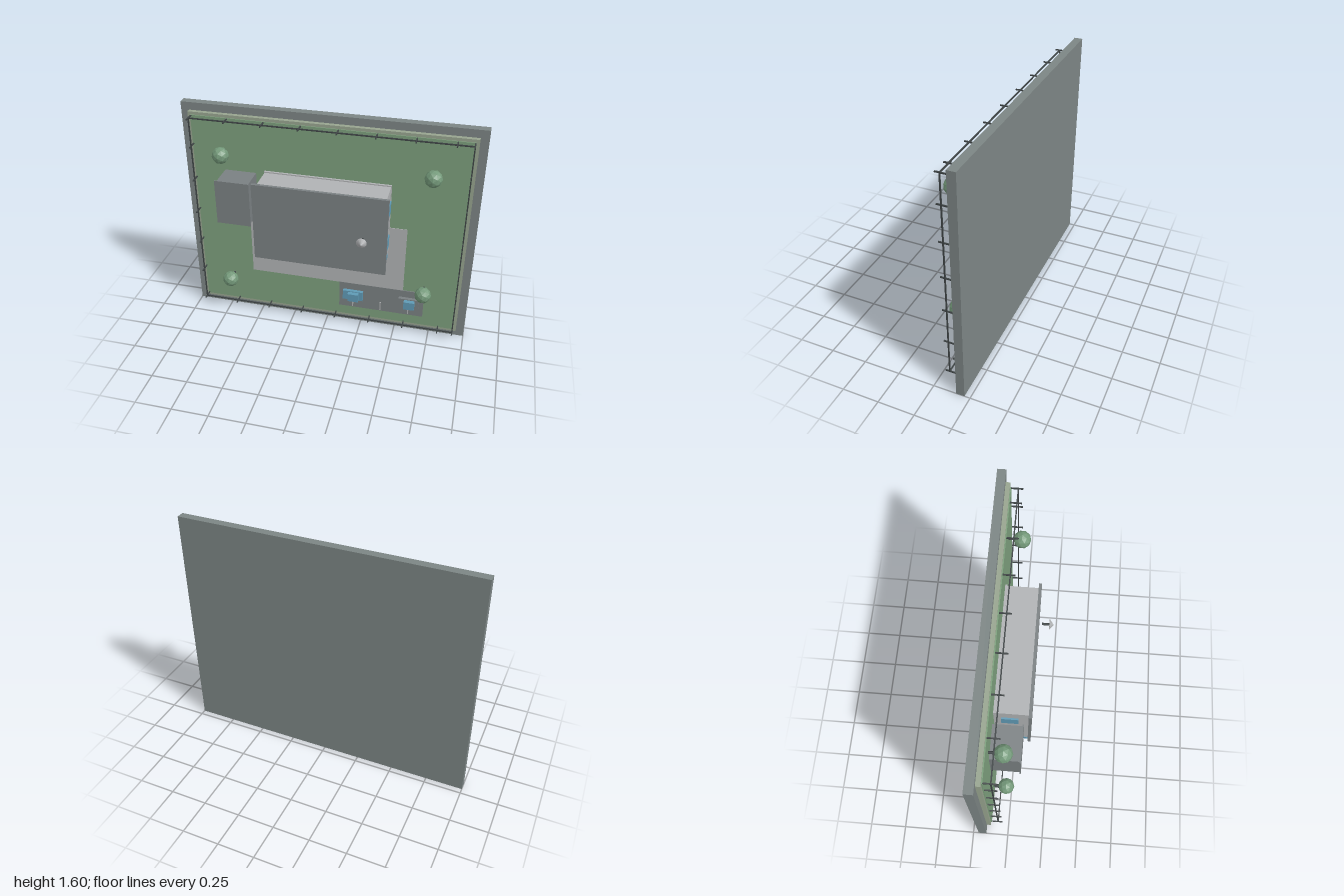
import * as THREE from 'three';

const mat = (name, color, extra = {}) => {
  const m = new THREE.MeshStandardMaterial({ color, ...extra });
  m.name = name;
  return m;
};

export function createModel() {
  const slab = mat('slab grey', 0x7c8584);
  const curb = mat('curb sage', 0x97a48f);
  const grass = mat('grass green', 0x7c9f7c);
  const pale = mat('pale concrete', 0xb0b2b4);
  const dark = mat('roof grey', 0x7a8082);
  const glass = mat('glass blue', 0x5f9ab5);
  const leaf = mat('leaf green', 0x74997a, { flatShading: true });
  const iron = mat('iron', 0x3e4445);

  const model = new THREE.Group();
  model.name = 'site';
  const group = (name) => {
    const g = new THREE.Group();
    g.name = name;
    model.add(g);
    return g;
  };
  // Box given by its extents along each axis
  const box = (parent, name, material, [x0, x1], [y0, y1], [z0, z1]) => {
    const m = new THREE.Mesh(new THREE.BoxGeometry(x1 - x0, y1 - y0, z1 - z0), material);
    m.position.set((x0 + x1) / 2, (y0 + y1) / 2, (z0 + z1) / 2);
    m.name = name;
    parent.add(m);
  };
  // Cylinder or cone standing out along +z
  const rod = (parent, name, material, rBase, rTip, x, y, z0, z1, sides = 8) => {
    const g = new THREE.CylinderGeometry(rTip, rBase, z1 - z0, sides).rotateX(Math.PI / 2);
    const m = new THREE.Mesh(g, material);
    m.position.set(x, y, (z0 + z1) / 2);
    m.name = name;
    parent.add(m);
  };

  // Ground layers
  const ground = group('ground');
  box(ground, 'baseSlab', slab, [-1, 1], [0, 1.6], [-0.212, -0.156]);
  box(ground, 'curb', curb, [-0.945, 0.945], [0.057, 1.547], [-0.156, -0.127]);
  box(ground, 'lawn', grass, [-0.925, 0.925], [0.077, 1.527], [-0.127, -0.12]);
  box(ground, 'plaza', pale, [-0.55, 0.55], [0.355, 0.857], [-0.12, -0.116]);
  box(ground, 'parkingLot', dark, [0.095, 0.7], [0.152, 0.357], [-0.12, -0.114]);
  for (const x of [0.195, 0.395, 0.595])
    box(ground, 'parkingLine', pale, [x - 0.004, x + 0.004], [0.157, 0.227], [-0.114, -0.112]);

  // Main building
  const building = group('mainBuilding');
  box(building, 'foundation', pale, [-0.43, 0.43], [0.65, 1.178], [-0.12, -0.105]);
  box(building, 'walls', pale, [-0.426, 0.426], [0.658, 1.17], [-0.105, 0.095]);
  box(building, 'roof', dark, [-0.449, 0.449], [0.633, 1.192], [0.095, 0.115]);
  box(building, 'doorFrame', dark, [-0.07, 0.07], [0.645, 0.658], [-0.105, 0.05]);
  box(building, 'door', glass, [-0.052, 0.052], [0.627, 0.65], [-0.105, 0.03]);
  for (const s of [-1, 1]) {
    box(building, 'cornerColumn', glass, [s * 0.418 - 0.011, s * 0.418 + 0.011], [0.627, 0.658], [-0.105, 0.095]);
    for (const y of [0.786, 1.043])
      box(building, 'sideWindow', glass, [s * 0.43 - 0.007, s * 0.43 + 0.007], [y - 0.043, y + 0.043], [-0.074, 0.034]);
  }

  // Annex
  const annex = group('annex');
  box(annex, 'annexWalls', dark, [-0.708, -0.49], [0.855, 1.153], [-0.12, 0.062]);
  box(annex, 'annexRoof', dark, [-0.718, -0.481], [0.845, 1.163], [0.062, 0.07]);

  // Roof dish
  const dish = group('dish');
  rod(dish, 'dishMast', iron, 0.009, 0.009, 0.295, 0.903, 0.133, 0.185);
  rod(dish, 'dishCone', pale, 0.036, 0, 0.295, 0.903, 0.183, 0.212, 10);

  // Trees
  for (const [x, y] of [[-0.7, 1.3], [0.695, 1.3], [0.695, 0.405], [-0.7, 0.305]]) {
    const tree = group('tree');
    rod(tree, 'trunk', iron, 0.009, 0.009, x, y, -0.12, -0.05);
    const crown = new THREE.Mesh(new THREE.IcosahedronGeometry(0.057, 1), leaf);
    crown.position.set(x, y, -0.032);
    crown.name = 'crown';
    tree.add(crown);
  }

  // Parked cars
  for (const [x, paint] of [[0.197, glass], [0.597, dark]]) {
    const car = group('car');
    box(car, 'carBody', paint, [x - 0.072, x + 0.072], [0.23, 0.303], [-0.114, -0.09]);
    box(car, 'carCabin', glass, [x - 0.032, x + 0.044], [0.236, 0.297], [-0.09, -0.06]);
  }

  // Perimeter fence: rails and regularly spaced posts
  const fence = group('fence');
  const [fx, y0, y1, r] = [0.92, 0.083, 1.523, 0.004];
  const post = (x, y) => box(fence, 'fencePost', iron, [x - r, x + r], [y - r, y + r], [-0.12, -0.045]);
  for (const y of [y0, y1]) {
    box(fence, 'fenceRail', iron, [-fx, fx], [y - r, y + r], [-0.079, -0.071]);
    for (let x = -fx; x < fx; x += 0.248) post(x, y);
    post(fx, y);
  }
  for (const x of [-fx, fx]) {
    box(fence, 'fenceRail', iron, [x - r, x + r], [y0, y1], [-0.079, -0.071]);
    for (let y = y0 + 0.248; y < y1; y += 0.248) post(x, y);
  }
  return model;
}
